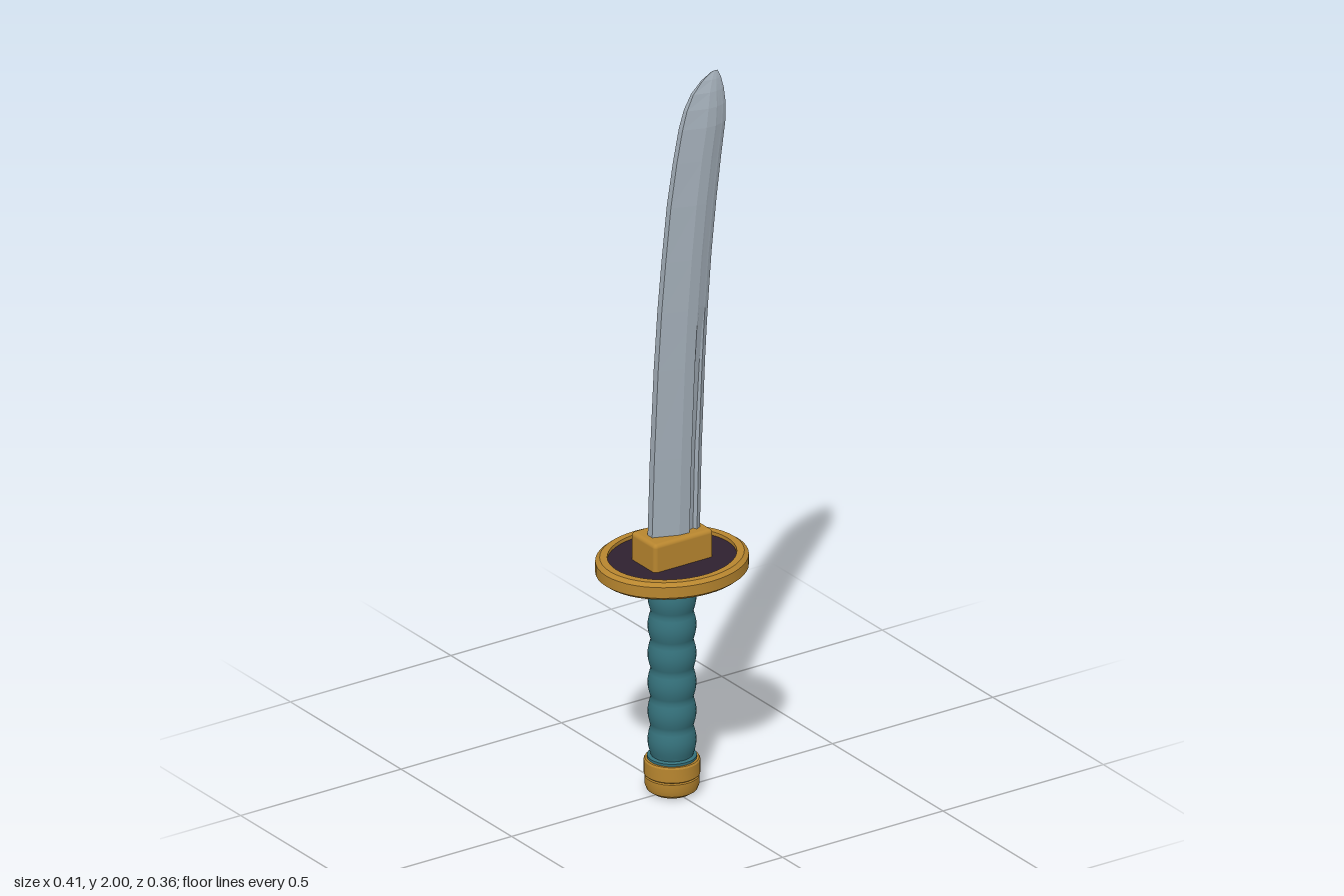
import * as THREE from 'three';
import { toCreasedNormals } from 'three/addons/utils/BufferGeometryUtils.js';
import { RoundedBoxGeometry } from 'three/addons/geometries/RoundedBoxGeometry.js';

function material(name, color, flatShading = false) {
  const m = new THREE.MeshStandardMaterial({ color, flatShading });
  m.name = name;
  return m;
}

function part(name, geometry, mat) {
  const mesh = new THREE.Mesh(geometry, mat);
  mesh.name = name;
  return mesh;
}

// Turned part from [radius, y] pairs, listed bottom to top on the outside
function turned(points, segments = 48, crease = 0.5) {
  const profile = points.map(([r, y]) => new THREE.Vector2(r, y));
  return toCreasedNormals(new THREE.LatheGeometry(profile, segments), crease);
}

// Curved blade: one bevelled cross-section swept through rows of
// [y, cutting edge x, spine x, half thickness]
function bladeGeometry() {
  const rows = [
    [0.7, -0.07, 0.07, 0.038], [0.95, -0.062, 0.076, 0.038], [1.2, -0.05, 0.087, 0.037],
    [1.3, -0.043, 0.093, 0.036], [1.36, -0.039, 0.097, 0.036], [1.5, -0.026, 0.108, 0.035],
    [1.65, -0.01, 0.124, 0.034], [1.77, 0.009, 0.14, 0.032], [1.86, 0.027, 0.153, 0.031],
    [1.91, 0.042, 0.156, 0.026], [1.95, 0.063, 0.154, 0.018], [1.98, 0.092, 0.149, 0.009],
    [2.0, 0.125, 0.142, 0.0005],
  ];
  const positions = [], indices = [];
  let count = 0;
  rows.forEach(([y, x0, x1, t], i) => {
    // The side groove gets shallower and runs out part way up
    const g = 0.3 * THREE.MathUtils.clamp((1.36 - y) / 0.3, 0, 1);
    const half = [
      [0, 0.27], [0.48, 0.96], [0.7, 1], [0.74, 0.95 - g],
      [0.86, 0.83 - g], [0.9, 0.8], [1, 0.62],
    ];
    const loop = [...half, ...half.slice().reverse().map(([u, w]) => [u, -w])];
    count = loop.length;
    for (const [u, w] of loop) positions.push(x0 + (x1 - x0) * u, y, w * t);
    if (i === 0) return;
    for (let j = 0; j < count; j++) {
      const a = (i - 1) * count + j, b = (i - 1) * count + (j + 1) % count;
      indices.push(a, b, b + count, a, b + count, a + count);
    }
  });
  const geometry = new THREE.BufferGeometry();
  geometry.setAttribute('position', new THREE.Float32BufferAttribute(positions, 3));
  geometry.setIndex(indices);
  geometry.computeVertexNormals();
  return geometry;
}

// Grip with evenly spaced rounded ribs
function gripGeometry() {
  const points = [[0.064, 0.085], [0.064, 0.102]];
  const ribs = 6, bottom = 0.105, top = 0.59, steps = 8;
  for (let i = 0; i <= ribs * steps; i++) {
    const s = i / steps;
    points.push([0.055 + 0.008 * Math.abs(Math.sin(Math.PI * s)), bottom + (top - bottom) * s / ribs]);
  }
  points.push([0.06, 0.594], [0.06, 0.615]);
  return turned(points, 32, 0.9);
}

export function createModel() {
  const model = new THREE.Group();
  model.name = 'sword';
  const steel = material('steel', 0xa0abb5, true);
  const gold = material('gold', 0xb8862f);
  const teal = material('teal wrap', 0x35717b);
  const dark = material('dark plum', 0x2f2130);

  model.add(part('blade', bladeGeometry(), steel));

  // Collar at the foot of the blade
  const collar = part('bladeCollar', new RoundedBoxGeometry(0.184, 0.1, 0.112, 3, 0.011), gold);
  collar.position.y = 0.685;
  model.add(collar);

  // Oval guard: gold rim around a recessed dark plate
  const guard = new THREE.Group();
  guard.name = 'guard';
  guard.scale.z = 0.88;
  guard.add(part('guardRim', turned([
    [0.173, 0.62], [0.193, 0.62], [0.205, 0.629], [0.205, 0.659],
    [0.193, 0.668], [0.173, 0.668], [0.173, 0.62],
  ]), gold));
  guard.add(part('guardPlate', turned([
    [0, 0.63], [0.175, 0.63], [0.175, 0.658], [0, 0.658],
  ]), dark));
  model.add(guard);

  // Handle
  model.add(part('gripRing', turned([
    [0, 0.61], [0.066, 0.61], [0.07, 0.615], [0.07, 0.635], [0, 0.635],
  ], 32), gold));
  model.add(part('grip', gripGeometry(), teal));

  // End cap with a fine groove around it
  model.add(part('pommel', turned([
    [0, 0], [0.052, 0], [0.066, 0.01], [0.071, 0.024], [0.071, 0.046], [0.068, 0.049],
    [0.073, 0.053], [0.073, 0.09], [0.07, 0.095], [0, 0.095],
  ], 32), gold));

  return model;
}
